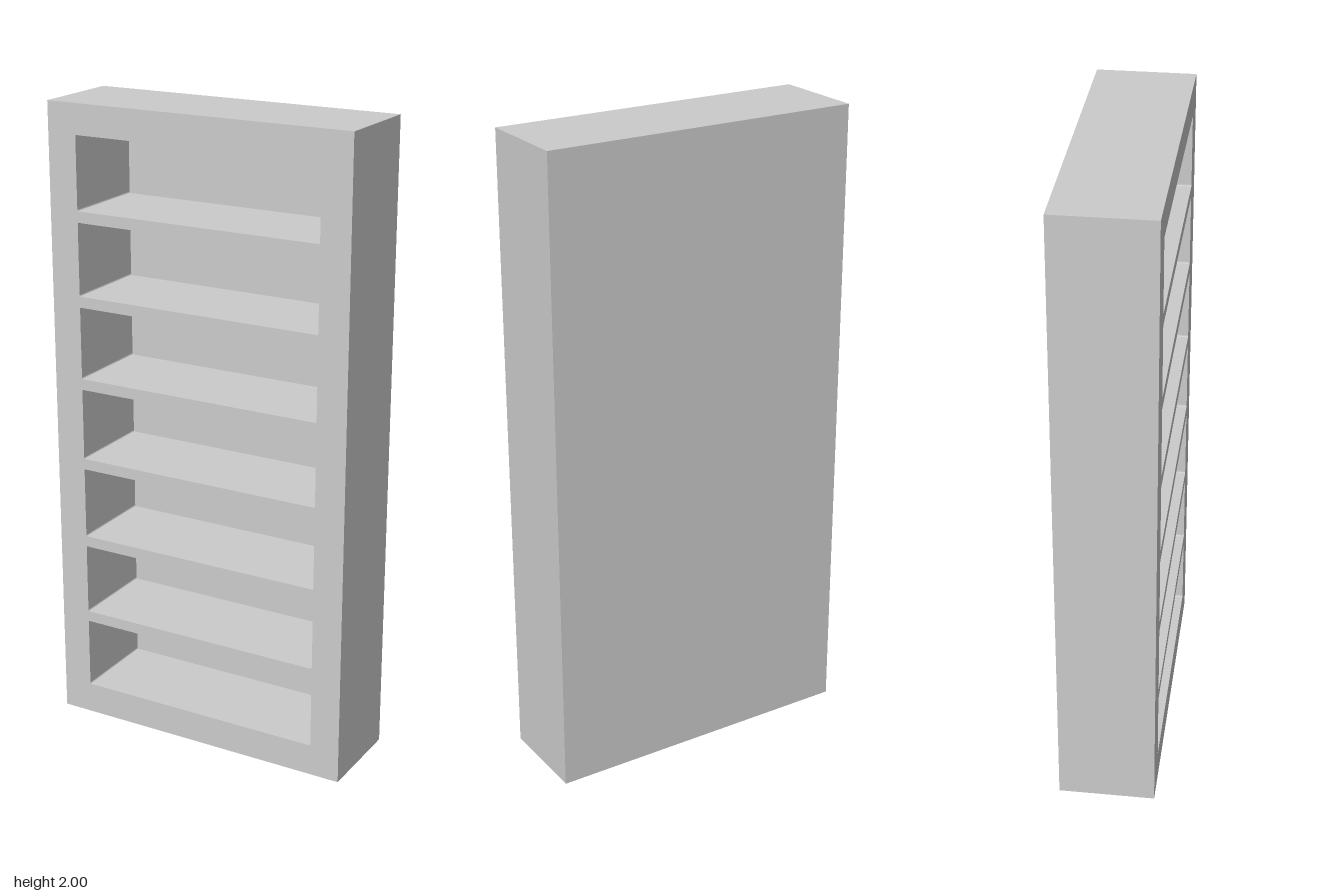
import * as THREE from 'three';

const WIDTH = 1, HEIGHT = 2, DEPTH = 0.3, BACK = 0.01;
const BAYS = 7, BAY_HALF = 0.404, BAY_HEIGHT = 0.228, BAY_BOTTOM = 0.1, PITCH = 0.263;
const CORNER = 0.005;

// Rectangular opening with very slightly eased corners
function bayOpening(x0, y0, x1, y1, r) {
  const path = new THREE.Path();
  path.moveTo(x0 + r, y0);
  path.lineTo(x1 - r, y0);
  path.quadraticCurveTo(x1, y0, x1, y0 + r);
  path.lineTo(x1, y1 - r);
  path.quadraticCurveTo(x1, y1, x1 - r, y1);
  path.lineTo(x0 + r, y1);
  path.quadraticCurveTo(x0, y1, x0, y1 - r);
  path.lineTo(x0, y0 + r);
  path.quadraticCurveTo(x0, y0, x0 + r, y0);
  return path;
}

export function createModel() {
  const group = new THREE.Group();
  group.name = 'bookcase';
  const material = new THREE.MeshStandardMaterial({ color: 0xcccccc });

  // Carcass and shelves: one solid block pierced by a stack of equal bays
  const outline = new THREE.Shape([
    new THREE.Vector2(-WIDTH / 2, 0),
    new THREE.Vector2(WIDTH / 2, 0),
    new THREE.Vector2(WIDTH / 2, HEIGHT),
    new THREE.Vector2(-WIDTH / 2, HEIGHT),
  ]);
  for (let i = 0; i < BAYS; i++) {
    const y = BAY_BOTTOM + i * PITCH;
    outline.holes.push(bayOpening(-BAY_HALF, y, BAY_HALF, y + BAY_HEIGHT, CORNER));
  }
  const carcass = new THREE.Mesh(
    new THREE.ExtrudeGeometry(outline, { depth: DEPTH - BACK, bevelEnabled: false, curveSegments: 3 }),
    material
  );
  carcass.name = 'carcassWithShelves';
  carcass.position.z = -DEPTH / 2 + BACK;
  group.add(carcass);

  // Thin panel closing the back
  const back = new THREE.Mesh(new THREE.BoxGeometry(WIDTH, HEIGHT, BACK), material);
  back.name = 'backPanel';
  back.position.set(0, HEIGHT / 2, -DEPTH / 2 + BACK / 2);
  group.add(back);

  return group;
}
